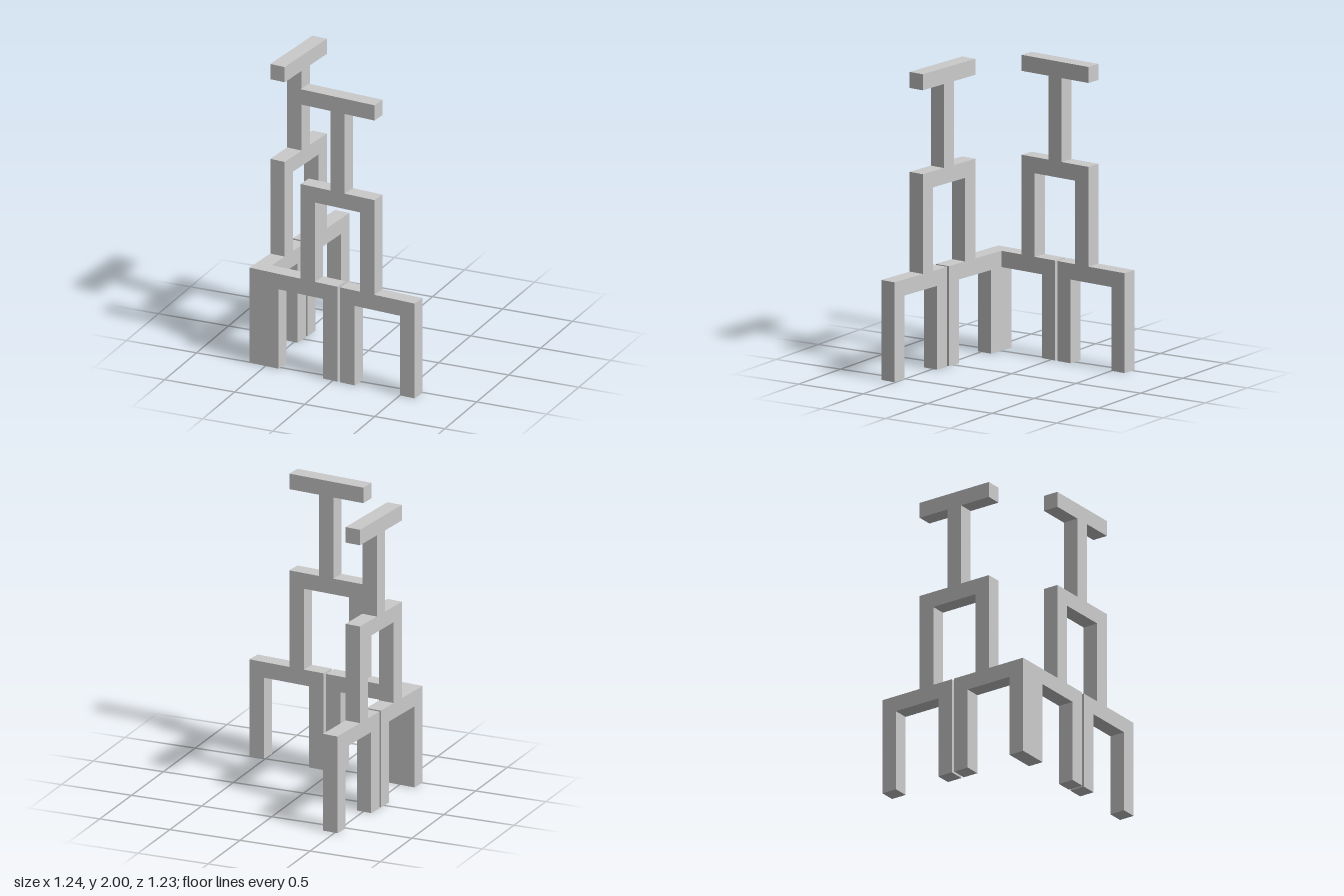
import * as THREE from 'three';

const T = 0.108;                                   // beam thickness
const Y1 = 0.667, Y2 = 1.333, Y3 = 1.893, Y4 = 2;  // tier heights
const material = new THREE.MeshStandardMaterial({ color: 0xcccccc, flatShading: true });

// Extrudes a flat outline (along, y) by one beam thickness
function slab(name, points) {
  const shape = new THREE.Shape(points.map(([a, y]) => new THREE.Vector2(a, y)));
  const mesh = new THREE.Mesh(
    new THREE.ExtrudeGeometry(shape, { depth: T, bevelEnabled: false }), material);
  mesh.name = name;
  return mesh;
}

// Beam on two legs, legs at both ends
function arch(name, a, b, y0, y1, leftLeg = T) {
  return slab(name, [
    [a, y0], [a + leftLeg, y0], [a + leftLeg, y1 - T], [b - T, y1 - T],
    [b - T, y0], [b, y0], [b, y1], [a, y1],
  ]);
}

// Upper two tiers and the outer base arch, shared by both wings
function addTower(wing, s) {
  wing.add(arch('outerBaseArch', 0.678 + s, 1.232 + s, 0, Y1));
  wing.add(arch('middleArch', 0.382 + s, 0.934 + s, Y1, Y2));
  const mid = 0.658 + s, h = T / 2;
  wing.add(slab('topTee', [
    [mid - h, Y2], [mid + h, Y2], [mid + h, Y3], [0.934 + s, Y3],
    [0.934 + s, Y4], [0.382 + s, Y4], [0.382 + s, Y3], [mid - h, Y3],
  ]));
}

export function createModel() {
  const model = new THREE.Group();
  model.name = 'cornerTowers';

  // Both wings meet at a right angle in one corner, slightly turned
  const corner = new THREE.Group();
  corner.name = 'wings';
  corner.position.set(-0.62, 0, 0.505);
  corner.rotation.y = -0.089;
  model.add(corner);

  // Front wing, with the double-width corner leg
  const front = new THREE.Group();
  front.name = 'frontWing';
  front.position.z = -T;
  front.add(arch('cornerBaseArch', 0, 0.659, 0, Y1, 2 * T));
  addTower(front, 0);
  corner.add(front);

  // Side wing, its first beam resting against the corner leg
  const side = new THREE.Group();
  side.name = 'sideWing';
  side.rotation.y = Math.PI / 2;
  const end = 0.659 - T;
  side.add(slab('cornerBeam', [
    [T, Y1 - T], [end - T, Y1 - T], [end - T, 0], [end, 0], [end, Y1], [T, Y1],
  ]));
  addTower(side, -T);
  corner.add(side);

  return model;
}
